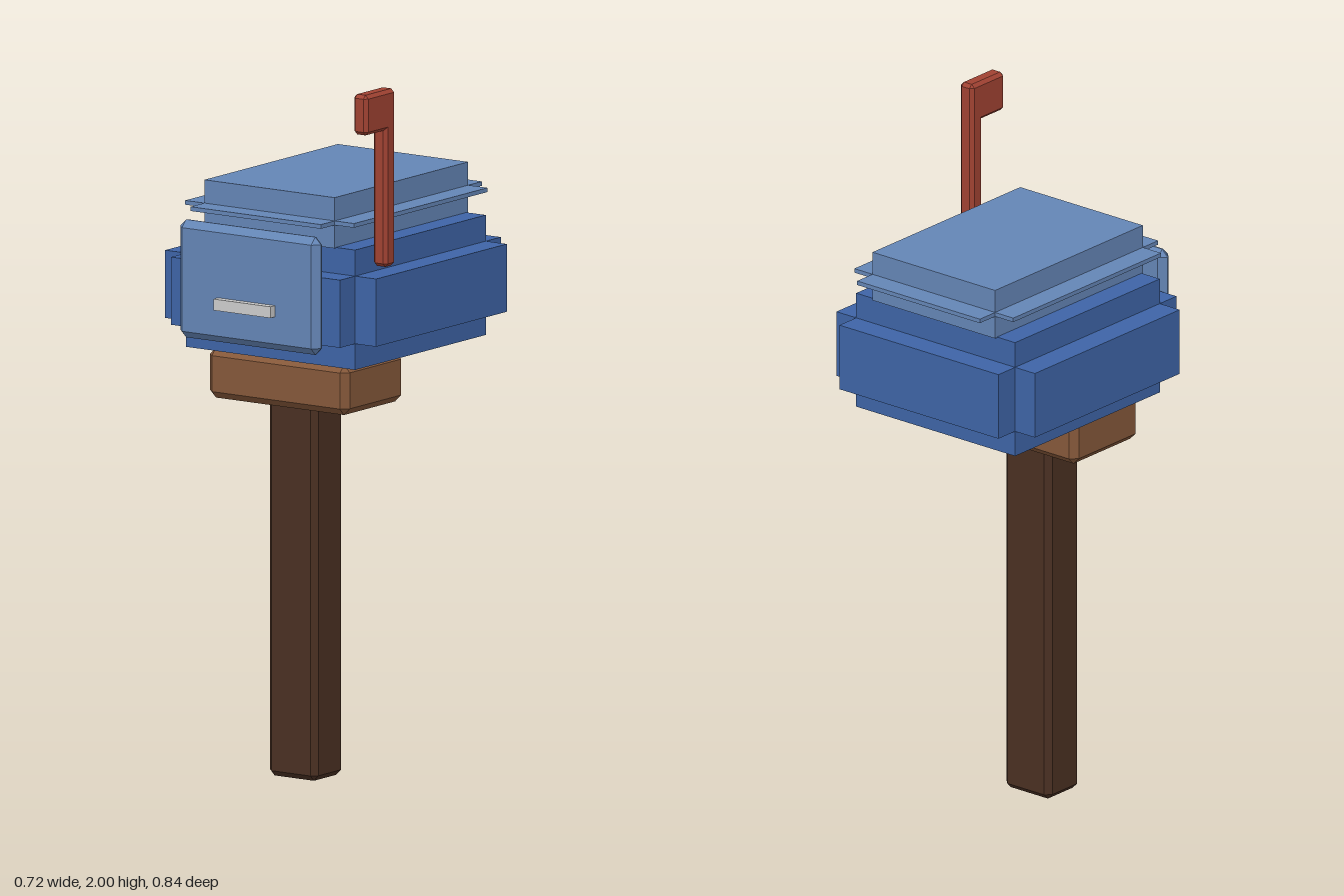
import * as THREE from 'three';
import { ConvexGeometry } from 'three/addons/geometries/ConvexGeometry.js';

const mat = (color) => new THREE.MeshStandardMaterial({ color, flatShading: true });

// Box between two values on each axis, with optional chamfer c on every edge
function block(name, material, [x0, x1], [y0, y1], [z0, z1], c = 0) {
  const w = x1 - x0, h = y1 - y0, d = z1 - z0;
  let geometry;
  if (c > 0) {
    const a = w / 2, b = h / 2, e = d / 2, points = [];
    for (const sx of [-1, 1]) for (const sy of [-1, 1]) for (const sz of [-1, 1]) {
      points.push(
        new THREE.Vector3(sx * a, sy * (b - c), sz * (e - c)),
        new THREE.Vector3(sx * (a - c), sy * b, sz * (e - c)),
        new THREE.Vector3(sx * (a - c), sy * (b - c), sz * e));
    }
    geometry = new ConvexGeometry(points);
  } else {
    geometry = new THREE.BoxGeometry(w, h, d);
  }
  const mesh = new THREE.Mesh(geometry, material);
  mesh.name = name;
  mesh.position.set((x0 + x1) / 2, (y0 + y1) / 2, (z0 + z1) / 2);
  return mesh;
}

// Three crossing boxes, each stretched to full size along one axis and inset on the others
function steppedBox(name, material, [x0, x1], [y0, y1], [z0, z1], inset, insetY) {
  const group = new THREE.Group();
  group.name = name;
  for (const axis of ['x', 'y', 'z']) {
    const ix = axis === 'x' ? 0 : inset;
    const iy = axis === 'y' ? 0 : insetY;
    const iz = axis === 'z' ? 0 : inset;
    group.add(block(`${name}Step_${axis}`, material,
      [x0 + ix, x1 - ix], [y0 + iy, y1 - iy], [z0 + iz, z1 - iz]));
  }
  return group;
}

export function createModel() {
  const model = new THREE.Group();
  model.name = 'mailbox';
  const darkWood = mat(0x4a3022), wood = mat(0x85583a);
  const blue = mat(0x3e64a6), paleBlue = mat(0x6485b5);
  const red = mat(0xa04232), grey = mat(0xcccccc);

  // Post and supporting block
  model.add(block('post', darkWood, [-0.083, 0.083], [0, 1.08], [0.045, 0.184], 0.016));
  model.add(block('support', wood, [-0.24, 0.238], [1.065, 1.207], [-0.03, 0.255], 0.02));

  // Stepped body and roof
  model.add(steppedBox('body', blue, [-0.362, 0.36], [1.208, 1.548], [-0.418, 0.352], 0.072, 0.074));
  model.add(steppedBox('roof', paleBlue, [-0.29, 0.288], [1.546, 1.69], [-0.42, 0.351], 0.066, 0.066));

  // Door with its handle
  model.add(block('door', paleBlue, [-0.242, 0.24], [1.258, 1.592], [0.351, 0.395], 0.02));
  model.add(block('handle', grey, [-0.099, 0.096], [1.355, 1.387], [0.385, 0.417]));

  // Raised flag on the left side
  const flag = new THREE.Group();
  flag.name = 'flag';
  flag.add(block('flagPole', red, [0.312, 0.36], [1.498, 1.93], [0.184, 0.232], 0.01));
  flag.add(block('flagPlate', red, [0.312, 0.36], [1.886, 2], [0.184, 0.327], 0.01));
  model.add(flag);

  return model;
}
